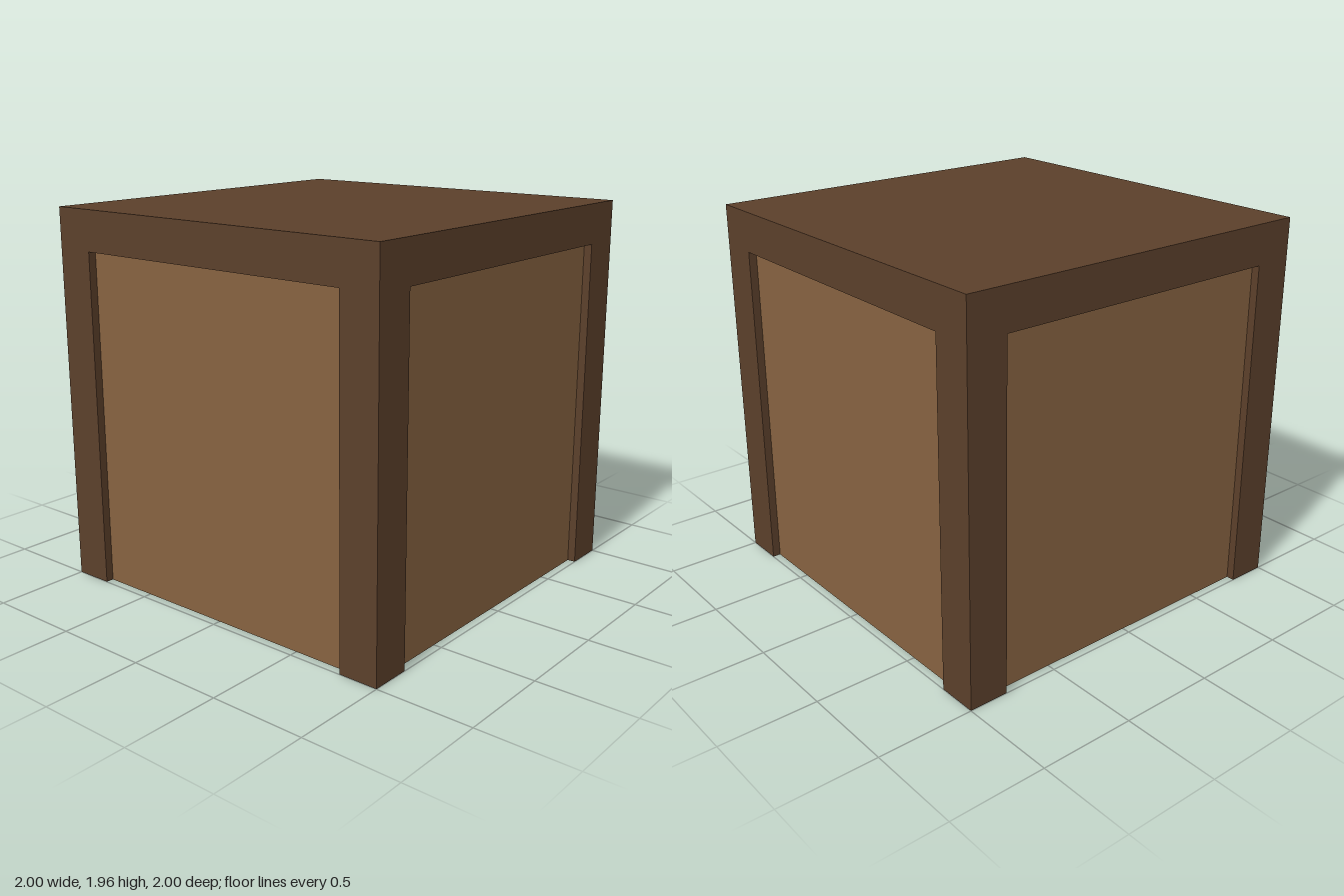
import * as THREE from 'three';

const U = 1 / 24; // module of the block: 48 wide, 47 tall

export function createModel() {
  const group = new THREE.Group();
  const darkWood = new THREE.MeshStandardMaterial({ color: 0x5c402b });
  darkWood.name = 'dark wood';
  const lightWood = new THREE.MeshStandardMaterial({ color: 0x876341 });
  lightWood.name = 'light wood';

  // box sized in modules, standing at height y
  const addBox = (name, material, w, h, d, x, y, z) => {
    const mesh = new THREE.Mesh(new THREE.BoxGeometry(w * U, h * U, d * U), material);
    mesh.name = name;
    mesh.position.set(x * U, (y + h / 2) * U, z * U);
    group.add(mesh);
  };

  // recessed body and the slab that caps it
  addBox('body', lightWood, 46, 42, 46, 0, 0, 0);
  addBox('top', darkWood, 48, 5, 48, 0, 42, 0);

  // corner posts, a hair above the floor so the undersides do not coincide
  const lift = 0.02;
  for (const sx of [-1, 1]) {
    for (const sz of [-1, 1]) {
      addBox('cornerPost', darkWood, 5, 42 - lift, 5, sx * 21.5, lift, sz * 21.5);
    }
  }
  return group;
}
